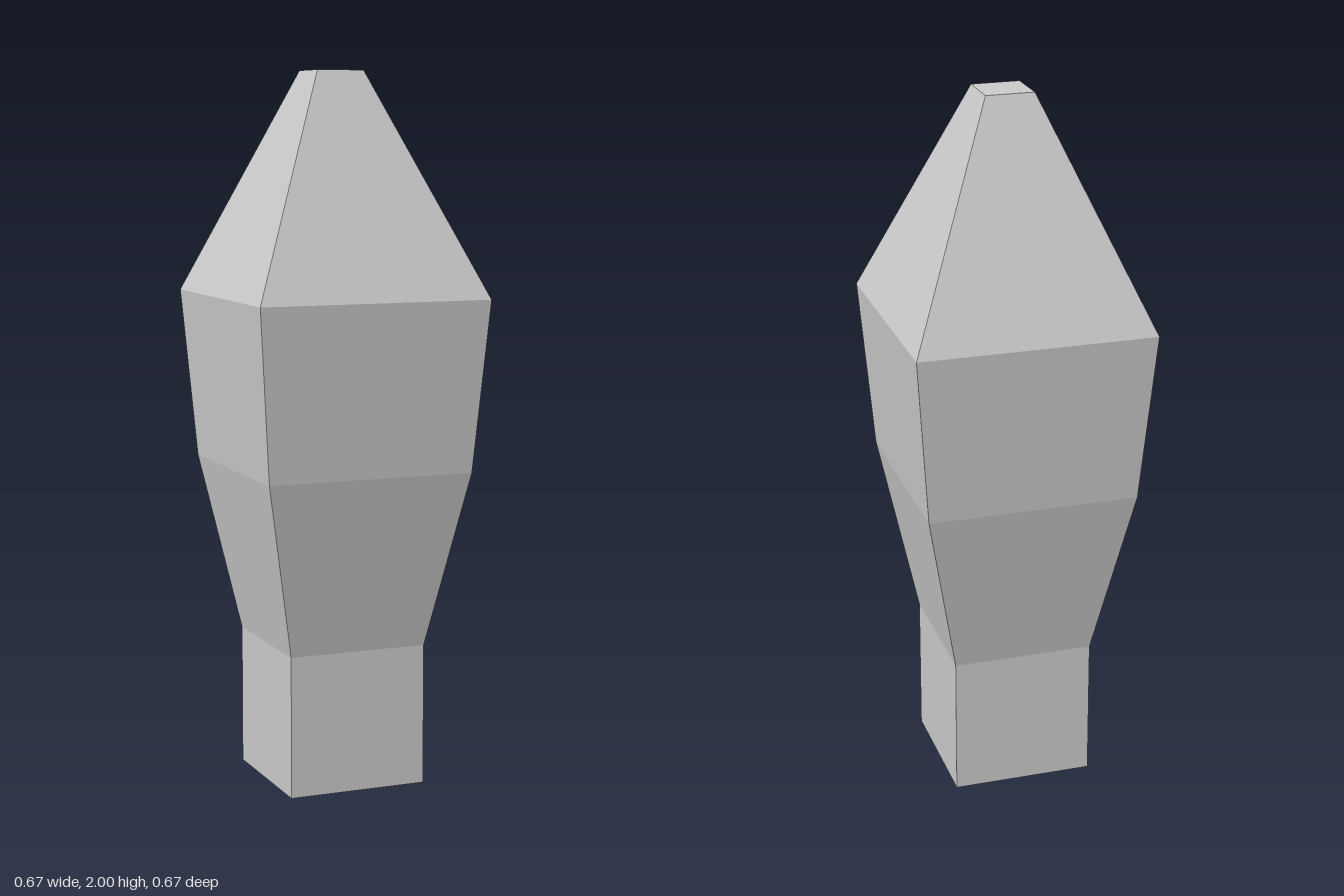
import * as THREE from 'three';

const material = new THREE.MeshStandardMaterial({ color: 0xcccccc, flatShading: true });

// Square-section solid from [half width, height] pairs, listed bottom to top
function squareLathe(name, profile) {
  const points = profile.map(([half, y]) => new THREE.Vector2(half * Math.SQRT2, y));
  const geometry = new THREE.LatheGeometry(points, 4, Math.PI / 4).toNonIndexed();
  geometry.computeVertexNormals();
  const mesh = new THREE.Mesh(geometry, material);
  mesh.name = name;
  return mesh;
}

export function createModel() {
  const group = new THREE.Group();
  group.name = 'lowPolyTree';

  // Straight square trunk, closed underneath
  group.add(squareLathe('trunk', [[0, 0], [0.2, 0], [0.2, 0.4]]));

  // Crown flares in two tiers, then tapers to a small flat top
  group.add(squareLathe('crown', [
    [0.2, 0.4], [0.298, 0.9], [0.335, 1.38], [0.068, 2], [0, 2],
  ]));

  return group;
}
